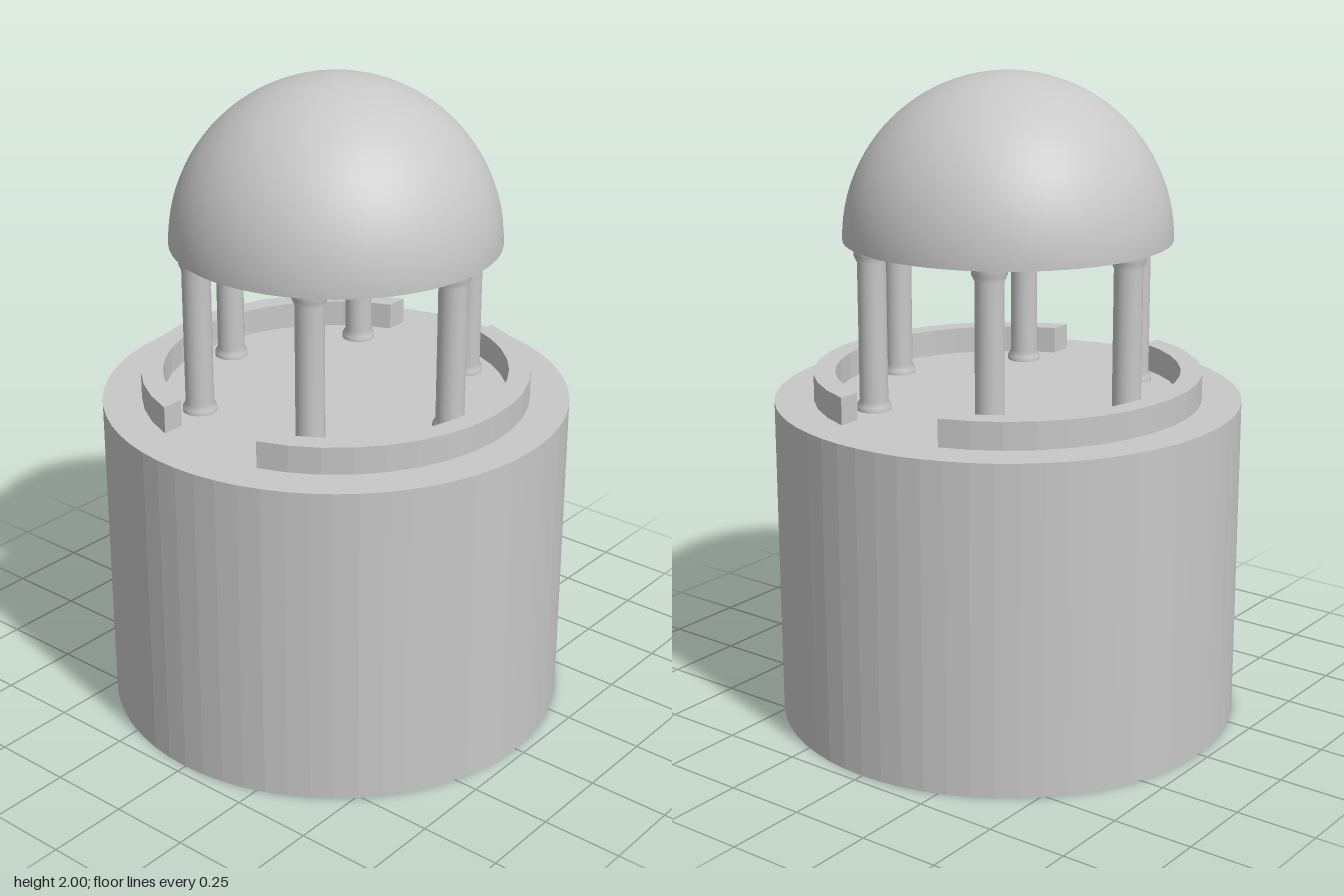
import * as THREE from 'three';

const stone = new THREE.MeshStandardMaterial({ color: 0xc8c8c8 });
stone.name = 'greyStone';
const facetedStone = stone;

const BASE_TOP = 1.01, DOME_BOTTOM = 1.5;

function addMesh(parent, name, geometry, material = stone) {
  const mesh = new THREE.Mesh(geometry, material);
  mesh.name = name;
  parent.add(mesh);
  return mesh;
}

// Curved parapet whose ends are cut straight along x = gap
function parapetGeometry(outer, inner, gap, height, steps) {
  const arc = (r) => {
    const a = Math.acos(gap / r);
    return Array.from({ length: steps + 1 }, (_, i) => {
      const t = -a + (2 * a * i) / steps;
      return new THREE.Vector2(r * Math.cos(t), r * Math.sin(t));
    });
  };
  const shape = new THREE.Shape([...arc(outer), ...arc(inner).reverse()]);
  const g = new THREE.ExtrudeGeometry(shape, { depth: height, bevelEnabled: false });
  return g.rotateX(-Math.PI / 2);
}

export function createModel() {
  const model = new THREE.Group();
  model.name = 'domedPavilion';

  // Faceted drum
  const drum = new THREE.CylinderGeometry(0.717, 0.717, BASE_TOP, 64).toNonIndexed();
  drum.computeVertexNormals();
  addMesh(model, 'drum', drum, facetedStone).position.y = BASE_TOP / 2;

  // Two parapet halves with openings at front and back
  const parapet = parapetGeometry(0.597, 0.53, 0.18, 0.084, 16);
  ['leftParapet', 'rightParapet'].forEach((name, i) => {
    const half = addMesh(model, name, parapet);
    half.position.y = BASE_TOP;
    half.rotation.y = i * Math.PI;
  });

  // Ring of six columns, flared at foot and head
  const profile = [
    [0.052, BASE_TOP], [0.052, 1.025], [0.043, 1.04],
    [0.043, 1.46], [0.052, 1.48], [0.052, DOME_BOTTOM],
  ].map(([r, y]) => new THREE.Vector2(r, y));
  const column = new THREE.LatheGeometry(profile, 24);
  for (let i = 0; i < 6; i++) {
    const a = (i * Math.PI) / 3;
    addMesh(model, 'column' + (i + 1), column)
      .position.set(0.437 * Math.cos(a), 0, 0.437 * Math.sin(a));
  }

  // Hemispherical dome with a flat underside
  const dome = new THREE.SphereGeometry(0.5, 64, 24, 0, Math.PI * 2, 0, Math.PI / 2);
  addMesh(model, 'dome', dome).position.y = DOME_BOTTOM;
  addMesh(model, 'domeUnderside', new THREE.CircleGeometry(0.5, 64).rotateX(Math.PI / 2))
    .position.y = DOME_BOTTOM;

  return model;
}
